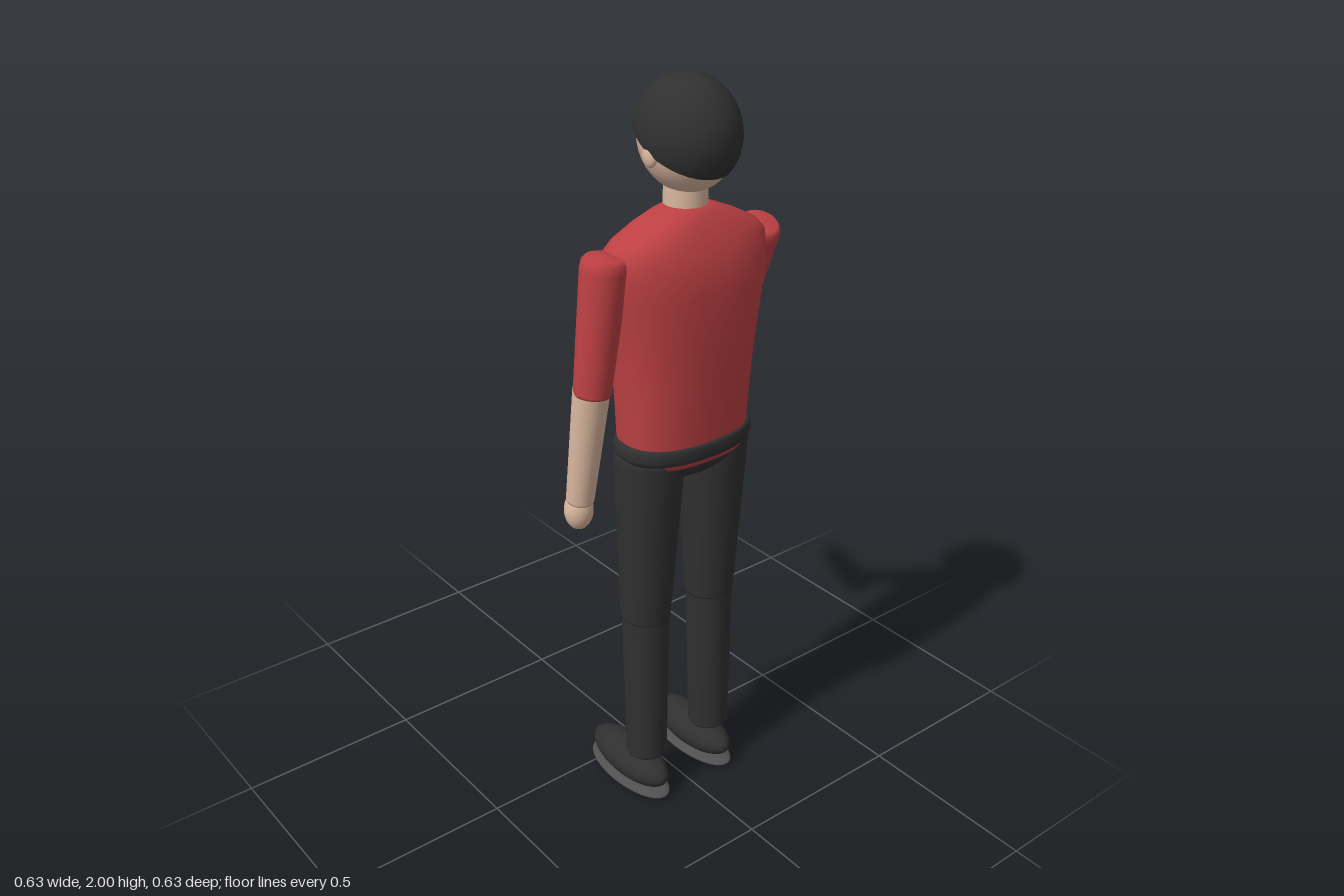
import * as THREE from 'three';
import { mergeVertices } from 'three/addons/utils/BufferGeometryUtils.js';

const mat = (name, color, side = THREE.FrontSide) => {
  const m = new THREE.MeshStandardMaterial({ color, side });
  m.name = name;
  return m;
};

export function createModel() {
  const model = new THREE.Group();
  const red = mat('red', 0xbd4043);
  const dark = mat('charcoal', 0x303030, THREE.DoubleSide);
  const black = mat('black', 0x1c1c1c);
  const skin = mat('skin', 0xdab79f);
  const grey = mat('soleGrey', 0x505050);
  const silver = mat('silver', 0xb4b6b6);
  const V = (x, y, z) => new THREE.Vector3(x, y, z);

  const add = (name, geometry, material) => {
    const mesh = new THREE.Mesh(geometry, material);
    mesh.name = name;
    model.add(mesh);
    return mesh;
  };

  // Ellipsoid from centre and radii
  const ellipsoid = (name, c, r, material) => {
    const mesh = add(name, new THREE.SphereGeometry(1, 32, 20), material);
    mesh.position.set(...c);
    mesh.scale.set(...r);
    return mesh;
  };

  // Point a mesh's y axis from a to b
  const aim = (mesh, a, b) => {
    mesh.position.copy(a);
    mesh.quaternion.setFromUnitVectors(V(0, 1, 0), b.clone().sub(a).normalize());
    return mesh;
  };

  // Tapered limb with softly rounded ends, from a to b
  const limb = (name, a, b, ra, rb, material) => {
    const L = a.distanceTo(b);
    const pts = [[0.001, 0], [ra * 0.8, 0.004], [ra * 0.95, 0.014], [ra, 0.035],
      [rb, L - 0.006], [rb * 0.96, L], [0.001, L]].map(p => new THREE.Vector2(...p));
    return aim(add(name, new THREE.LatheGeometry(pts, 32), material), a, b);
  };

  // Plain capped cylinder from a to b
  const rod = (name, a, b, r, material) => {
    const L = a.distanceTo(b);
    const g = new THREE.CylinderGeometry(r, r, L, 32).translate(0, L / 2, 0);
    return aim(add(name, g, material), a, b);
  };

  // Stack of rounded-oval rings [y, halfWidth, halfDepth], bottom to top
  const loft = (name, rings, z, power, material) => {
    const n = rings.length;
    const g = new THREE.LatheGeometry(rings.map(r => new THREE.Vector2(r[1], r[0])), 48);
    const p = g.attributes.position;
    const soft = v => Math.sign(v) * Math.pow(Math.abs(v), 2 / power);
    for (let i = 0; i < p.count; i++) {
      const [y, hx, hz] = rings[i % n];
      const t = Math.floor(i / n) / 48 * Math.PI * 2;
      p.setXYZ(i, hx * soft(Math.sin(t)), y, z + hz * soft(Math.cos(t)));
    }
    g.deleteAttribute('uv');
    g.deleteAttribute('normal');
    const merged = mergeVertices(g, 1e-5);
    merged.computeVertexNormals();
    return add(name, merged, material);
  };

  // Shirt, waistband and hips
  loft('shirt', [[1.05, 0.001, 0.001], [1.05, 0.175, 0.111], [1.1, 0.18, 0.115], [1.2, 0.185, 0.12],
    [1.3, 0.192, 0.125], [1.4, 0.205, 0.129], [1.5, 0.222, 0.13], [1.56, 0.229, 0.122],
    [1.6, 0.228, 0.108], [1.625, 0.205, 0.097], [1.655, 0.148, 0.082], [1.68, 0.088, 0.063],
    [1.692, 0.05, 0.048], [1.692, 0.001, 0.001]], 0.178, 2.4, red);
  loft('waistband', [[1.064, 0.17, 0.108], [1.066, 0.19, 0.117], [1.08, 0.196, 0.121],
    [1.1, 0.194, 0.12], [1.108, 0.188, 0.117], [1.109, 0.17, 0.105]], 0.181, 2.3, dark);
  ellipsoid('hips', [0, 1.06, 0.178], [0.17, 0.076, 0.111], dark);

  // Head
  rod('neck', V(0.005, 1.65, 0.172), V(0.005, 1.77, 0.172), 0.054, skin);
  ellipsoid('head', [0.005, 1.855, 0.175], [0.112, 0.135, 0.131], skin);
  ellipsoid('nose', [0.005, 1.826, 0.038], [0.017, 0.021, 0.018], skin);
  for (const s of [-1, 1]) {
    ellipsoid('ear', [0.005 + s * 0.108, 1.822, 0.172], [0.013, 0.028, 0.024], skin);
    ellipsoid('eye', [0.005 + s * 0.042, 1.853, 0.056], [0.013, 0.014, 0.011], black);
  }

  // Hair cap, tilted back off the face
  const hair = add('hair', new THREE.SphereGeometry(0.14, 40, 24, 0, Math.PI * 2, 0, 1.76).rotateX(0.47), dark);
  hair.position.set(0.005, 1.86, 0.176);
  hair.scale.x = 0.86;

  // Legs and shoes
  for (const s of [-1, 1]) {
    limb('upperLeg', V(s * 0.105, 1.085, 0.178), V(s * 0.11, 0.575, 0.17), 0.092, 0.067, dark);
    limb('lowerLeg', V(s * 0.11, 0.61, 0.17), V(s * 0.112, 0.133, 0.18), 0.064, 0.056, dark);
    ellipsoid('shoe', [s * 0.114, 0.066, 0.11], [0.062, 0.053, 0.152], dark);
    ellipsoid('sole', [s * 0.114, 0.016, 0.108], [0.066, 0.016, 0.158], grey);
  }

  // Arm hanging at the side
  limb('sleeve', V(-0.238, 1.615, 0.178), V(-0.272, 1.268, 0.165), 0.058, 0.047, red);
  limb('forearm', V(-0.27, 1.31, 0.166), V(-0.281, 0.96, 0.12), 0.046, 0.036, skin);
  ellipsoid('hand', [-0.282, 0.932, 0.115], [0.038, 0.054, 0.037], skin);

  // Arm reaching forward
  const elbow = V(0.263, 1.315, 0.07);
  const wrist = V(0.234, 1.11, -0.12);
  limb('raisedSleeve', V(0.238, 1.6, 0.182), elbow, 0.058, 0.047, red);
  limb('raisedForearm', V(0.261, 1.34, 0.088), wrist, 0.046, 0.033, skin);
  aim(ellipsoid('raisedHand', [0, 0, 0], [0.038, 0.05, 0.042], skin), V(0.232, 1.1, -0.135), V(0.225, 1.04, -0.19));

  // Hand-held canister
  const along = z => V(0.232, 1.055 + (-0.06 - z) * 0.485, z);
  rod('canister', along(-0.06), along(-0.25), 0.035, red);
  rod('canisterCollar', along(-0.25), along(-0.265), 0.032, silver);
  rod('canisterTip', along(-0.262), along(-0.306), 0.025, silver);

  return model;
}
